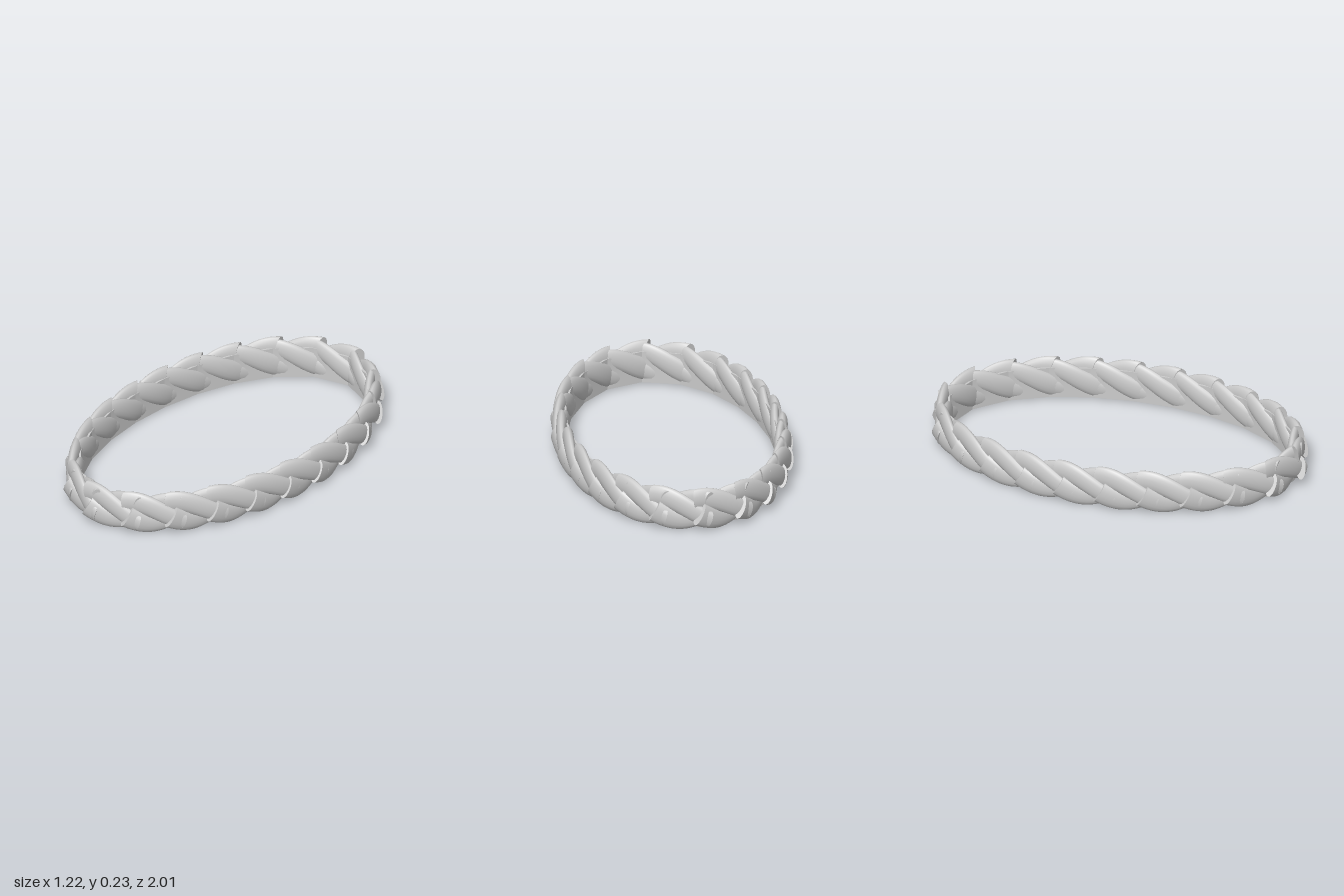
import * as THREE from 'three';
import { mergeGeometries } from 'three/addons/utils/BufferGeometryUtils.js';

const PIECES = 22;      // straight twisted links around the oval
const RX = 0.558, RZ = 0.947, MID_Y = 0.124;
const STEP = 0.222;     // nominal link length
const OVERLAP = 0.035;  // each link runs past its joints
const FLATTEN = 0.41;   // rope is much thinner radially than it is tall
const STRANDS = 3;      // a third of a turn per link brings each strand to the next
const OFFSET = 0.06, R_START = 0.062, R_END = 0.046;
const RINGS = 20, SIDES = 16;

// Helix along x: starts at the top, turns over the outside (+z) and down.
class Helix extends THREE.Curve {
  constructor(phase) {
    super();
    this.phase = phase;
  }
  getPoint(t, target = new THREE.Vector3()) {
    const s = -OVERLAP + t * (STEP + 2 * OVERLAP);
    const a = this.phase + (2 * Math.PI / STRANDS) * s / STEP;
    return target.set(s - STEP / 2, OFFSET * Math.cos(a), OFFSET * Math.sin(a));
  }
}

// One strand with closed, flat ends, thick at its start and thinner at its end
function strandGeometry(phase) {
  const path = new Helix(phase);
  const tube = new THREE.TubeGeometry(path, RINGS, 1, SIDES, false);
  const pos = tube.attributes.position, v = new THREE.Vector3();
  for (let i = 0; i < pos.count; i++) {
    const t = Math.floor(i / (SIDES + 1)) / RINGS;
    const centre = path.getPointAt(t);
    v.fromBufferAttribute(pos, i).sub(centre);
    v.multiplyScalar(THREE.MathUtils.lerp(R_START, R_END, t)).add(centre);
    pos.setXYZ(i, v.x, v.y, v.z);
  }
  const parts = [tube];
  for (const t of [0, 1]) {
    const cap = new THREE.CircleGeometry(t ? R_END : R_START, SIDES);
    const out = path.getTangent(t).multiplyScalar(t ? 1 : -1);
    const turn = new THREE.Quaternion().setFromUnitVectors(new THREE.Vector3(0, 0, 1), out);
    const p = path.getPoint(t);
    parts.push(cap.applyQuaternion(turn).translate(p.x, p.y, p.z));
  }
  return mergeGeometries(parts).scale(1, 1, FLATTEN);
}

export function createModel() {
  const model = new THREE.Group();
  model.name = 'twistedRing';
  const material = new THREE.MeshStandardMaterial({ color: 0xcccccc, side: THREE.DoubleSide });

  const strands = [];
  for (let k = 0; k < STRANDS; k++) strands.push(strandGeometry(2 * Math.PI * k / STRANDS));
  const plate = new THREE.BoxGeometry(STEP, 0.17, 0.01).translate(0, -0.018, -0.025);

  // Joints evenly spaced by length, the first at the middle of the front
  const oval = new THREE.EllipseCurve(0, 0, RX, RZ, Math.PI / 2, -1.5 * Math.PI, true);
  oval.arcLengthDivisions = 1000;
  const joints = oval.getSpacedPoints(PIECES);

  for (let i = 0; i < PIECES; i++) {
    const a = joints[i], b = joints[i + 1];
    const link = new THREE.Group();
    link.name = 'link' + (i + 1);
    link.position.set((a.x + b.x) / 2, MID_Y, (a.y + b.y) / 2);
    link.rotation.y = -Math.atan2(b.y - a.y, b.x - a.x);
    link.scale.x = a.distanceTo(b) / STEP;

    strands.forEach((geometry, k) => {
      const strand = new THREE.Mesh(geometry, material);
      strand.name = 'strand' + (k + 1);
      link.add(strand);
    });
    const inner = new THREE.Mesh(plate, material);
    inner.name = 'innerPlate';
    link.add(inner);
    model.add(link);
  }
  return model;
}
